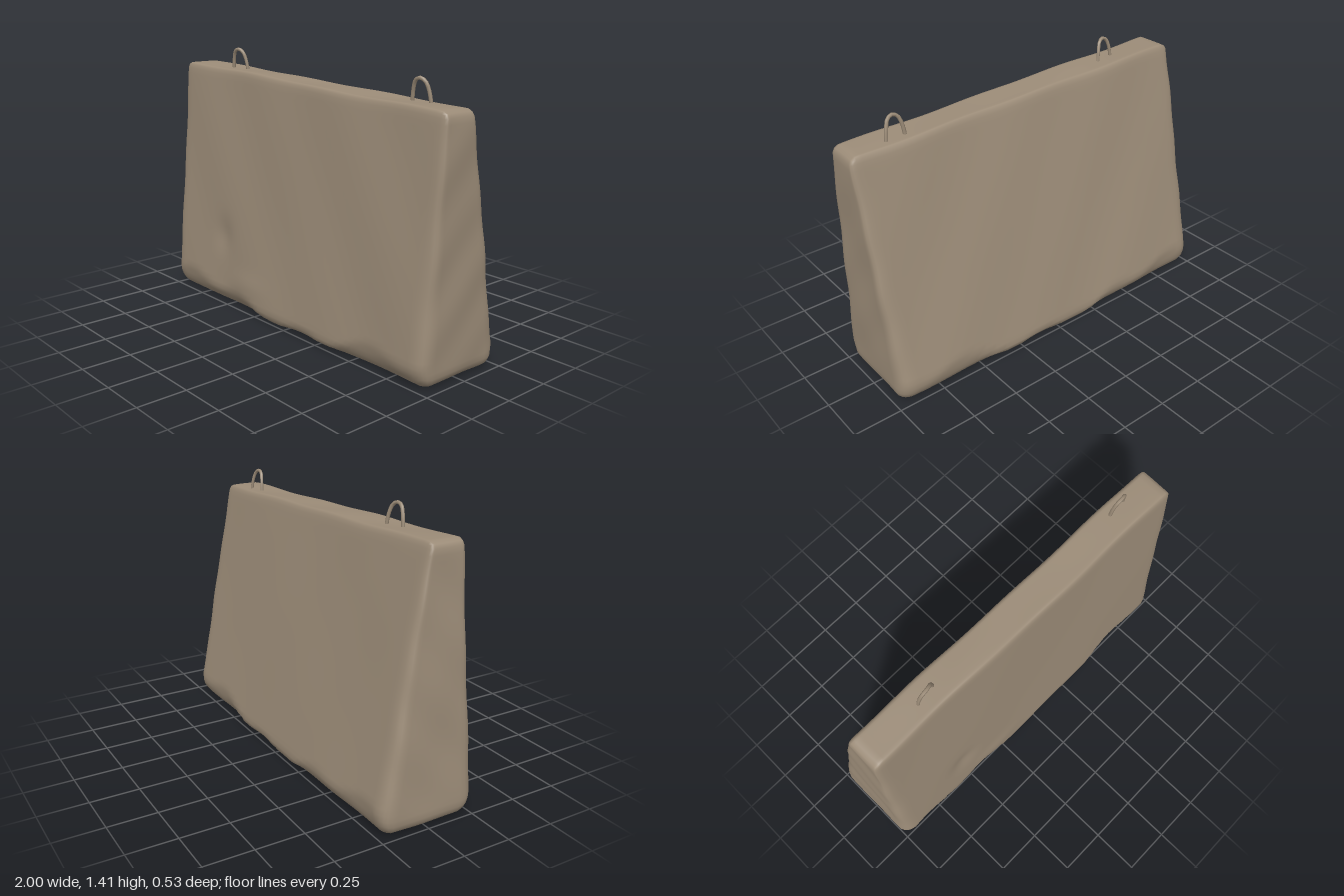
import * as THREE from 'three';
import { mergeVertices } from 'three/addons/utils/BufferGeometryUtils.js';

const lerp = THREE.MathUtils.lerp;
const clamp = THREE.MathUtils.clamp;

// height of the sloping top edge
const topAt = (x) => 1.287 - 0.037 * x;

// gentle, repeatable lumps
const lump = (a, b, s) =>
  Math.sin(a * 5.1 + s) * Math.sin(b * 4.3 + s * 2) * 0.6 +
  Math.sin(a * 11 + b * 6 + s * 3) * 0.4;

// soft dent centred on (cx, cy)
const dent = (x, y, cx, cy, rx, ry) =>
  Math.exp(-(((x - cx) / rx) ** 2) - ((y - cy) / ry) ** 2);

// Wedge-shaped rough block: a rounded box, tapered and weathered
function blockGeometry() {
  let g = new THREE.BoxGeometry(2, 1.3, 0.55, 64, 44, 18);
  g.deleteAttribute('uv');
  g.deleteAttribute('normal');
  g = mergeVertices(g, 1e-4);
  const pos = g.attributes.position;
  const p = new THREE.Vector3();
  const core = new THREE.Vector3();
  for (let i = 0; i < pos.count; i++) {
    p.fromBufferAttribute(pos, i);
    // round the edges, more at the foot than at the top
    const r = lerp(0.075, 0.04, p.y / 1.3 + 0.5);
    core.set(
      clamp(p.x, -1 + r, 1 - r),
      clamp(p.y, -0.65 + r, 0.65 - r),
      clamp(p.z, -0.275 + r, 0.275 - r)
    );
    p.sub(core);
    if (p.lengthSq() > 0) p.setLength(r);
    p.add(core);

    // taper towards the top
    const t = p.y / 1.3 + 0.5;
    const sx = p.x * 0.5 + 0.5;
    const sz = p.z / 0.55 + 0.5;
    let x = lerp(lerp(-1, -0.94, t), lerp(0.98, 0.995, t), sx);
    let y = lerp(0.008, topAt(x), t);
    let z = lerp(lerp(-0.275, -0.005, t), lerp(0.272, 0.172, t), sz);

    // surface unevenness
    const side = p.z / 0.275;
    z += 0.006 * side * lump(x, y, side > 0 ? 1 : 4);
    x += 0.006 * p.x * lump(y * 1.6, z * 3, p.x > 0 ? 2 : 5);
    y += 0.005 * t * lump(x, z * 3, 3);

    // chipped lower edges on both long faces
    const chip = 0.08 + 0.05 * Math.sin(x * 4 + 4.6) + 0.025 * Math.sin(x * 13);
    const bite = Math.max(0, 1 - y / chip);
    z -= 0.045 * bite * side;
    // worn patch low on the front
    if (side > 0.9) {
      z -= 0.014 * dent(x, y, -0.53, 0.4, 0.07, 0.09);
      z += 0.007 * dent(x, y, -0.3, 0.17, 0.14, 0.06);
    }
    pos.setXYZ(i, x, Math.max(y, 0), z);
  }
  g.computeVertexNormals();
  return g;
}

// Bent lifting loop with its feet sunk into the block
function loopGeometry(height) {
  const pts = [
    [-0.056, -0.04, -0.012], [-0.044, height * 0.5, -0.004],
    [-0.026, height * 0.9, 0.004], [0, height, 0.008],
    [0.026, height * 0.88, 0.004], [0.042, height * 0.5, -0.004],
    [0.056, -0.04, -0.012],
  ].map((q) => new THREE.Vector3(...q));
  return new THREE.TubeGeometry(new THREE.CatmullRomCurve3(pts), 18, 0.009, 6);
}

export function createModel() {
  const group = new THREE.Group();
  const concrete = new THREE.MeshStandardMaterial({ color: 0x9c8c78 });
  concrete.name = 'concrete';

  const block = new THREE.Mesh(blockGeometry(), concrete);
  block.name = 'block';
  group.add(block);

  // lifting loops on the top edge: [name, x, z, height, turn]
  for (const [name, x, z, h, turn] of [
    ['rightLiftingLoop', -0.555, 0.09, 0.102, 0.17],
    ['leftLiftingLoop', 0.738, 0.057, 0.105, 0.09],
  ]) {
    const loop = new THREE.Mesh(loopGeometry(h), concrete);
    loop.name = name;
    loop.position.set(x, topAt(x), z);
    loop.rotation.y = turn;
    group.add(loop);
  }
  return group;
}
